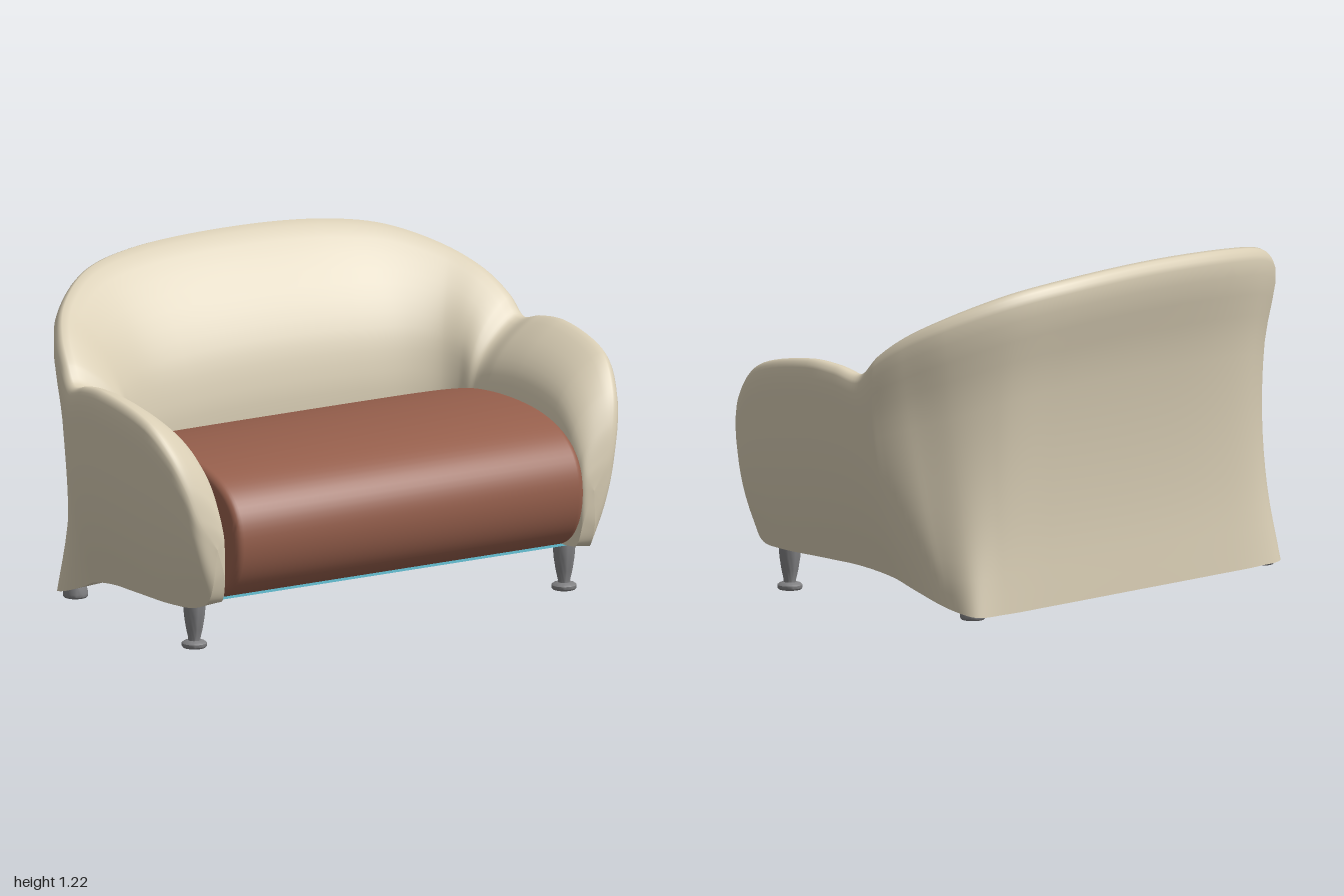
import * as THREE from 'three';
import { toCreasedNormals } from 'three/addons/utils/BufferGeometryUtils.js';

const V = (x, y, z) => new THREE.Vector3(x, y, z);

// Rails from the middle of the back to the nose of the left arm, as [x, y, z].
const RIM = [[0, 1.17, -.63], [.4, 1.155, -.61], [.64, 1.12, -.54], [.83, 1.045, -.4], [.92, .975, -.275],
  [.96, .905, -.175], [.975, .84, -.105], [.99, .86, 0], [1, .868, .13], [.985, .81, .4], [.95, .71, .51],
  [.915, .61, .56], [.87, .49, .585], [.8, .39, .591]];
const FLOOR = [[0, .015, -.52], [.4, .015, -.52], [.64, .015, -.515], [.765, .017, -.49], [.8, .04, -.39],
  [.82, .09, -.24], [.835, .125, -.15], [.85, .15, 0], [.862, .157, .15], [.86, .16, .4], [.835, .165, .5],
  [.815, .19, .55], [.81, .26, .58], [.8, .39, .591]];
const SEAT = [[0, .115, -.235], [.36, .115, -.225], [.55, .115, -.2], [.645, .125, -.16], [.685, .14, -.115],
  [.695, .147, -.08], [.7, .152, -.05], [.71, .16, .03], [.728, .17, .17], [.742, .178, .4], [.745, .18, .5],
  [.752, .19, .55], [.762, .28, .58], [.8, .39, .591]];
const LAST = RIM.length - 1;

// Mirrored rail: parameter 0 = right arm nose, 0.5 = back centre, 1 = left arm nose
function rail(points) {
  const left = points.map((p) => V(...p));
  const right = left.slice(1).reverse().map((p) => V(-p.x, p.y, p.z));
  return new THREE.CatmullRomCurve3([...right, ...left], false, 'centripetal');
}

// Smooth surface through equally long rows of points
function loft(rows) {
  const n = rows[0].length, index = [];
  for (let i = 0; i < rows.length - 1; i++) {
    for (let j = 0; j < n - 1; j++) {
      const a = i * n + j, b = a + n;
      index.push(a, a + 1, b, b, a + 1, b + 1);
    }
  }
  const geometry = new THREE.BufferGeometry().setFromPoints(rows.flat());
  geometry.setIndex(index);
  geometry.computeVertexNormals();
  return geometry;
}

// Roll of the inner wall: [share of the way inwards, share of the drop at the back, at the arms]
const ROLL = [[.1, 0, 0], [.53, .24, .14], [.85, .55, .37], [.97, .8, .65], [1, 1, 1]];

function section(floor, rim, seat, station) {
  // The back wall is hollow, the arm walls swell, and the back corners are drawn in at mid height
  const arm = THREE.MathUtils.smoothstep(station, 1, 5.5);
  const k = THREE.MathUtils.lerp(-.8, 1.95, arm);
  const waist = .06 * Math.exp(-(((station - 3) / 1.3) ** 2));
  const points = [0, .25, .5, .75, 1].map((t) => {
    const f = t * (k + (1 - k) * t);
    const d = waist * 4 * t * (1 - t);
    return V(floor.x + (rim.x - floor.x) * f - Math.sign(floor.x) * d * .4,
      floor.y + (rim.y - floor.y) * t, floor.z + (rim.z - floor.z) * f + d);
  });
  const top = rim.y + .04 * (rim.y - floor.y);
  const mid = seat.y + .45 * (rim.y - seat.y);
  for (const [g, back, side] of ROLL) {
    const h = THREE.MathUtils.lerp(back, side, arm);
    points.push(V(rim.x + (seat.x - rim.x) * g, top + (mid - top) * h, rim.z + (seat.z - rim.z) * g));
  }
  points.push(seat.clone());
  return new THREE.CatmullRomCurve3(points, false, 'centripetal').getPoints(40);
}

export function createModel() {
  const group = new THREE.Group();
  const material = (name, color, side = THREE.FrontSide) => {
    const m = new THREE.MeshStandardMaterial({ color, side });
    m.name = name;
    return m;
  };
  const cream = material('cream upholstery', 0xd8cdb4, THREE.DoubleSide);
  const rust = material('rust cushion', 0x965f4c);
  const teal = material('teal lining', 0x5cb0c2, THREE.DoubleSide);
  const metal = material('grey metal', 0x808082);
  const add = (name, geometry, mat) => {
    const mesh = new THREE.Mesh(geometry, mat);
    mesh.name = name;
    group.add(mesh);
    return mesh;
  };

  // Wraparound shell: back and arms in one sweep, with a separate underside
  const rim = rail(RIM), floor = rail(FLOOR), seat = rail(SEAT);
  const walls = [], under = [], steps = 208;
  for (let i = 0; i <= steps; i++) {
    const u = i / steps;
    const f = floor.getPoint(u), s = seat.getPoint(u);
    walls.push(section(f, rim.getPoint(u), s, Math.abs(u - .5) * 2 * LAST));
    under.push([s, s.clone().lerp(f, .5), f]);
  }
  add('backAndArms', loft(walls), cream);
  add('shellUnderside', loft(under), cream);

  // Lining stretched across the underside of the seat
  const lining = [];
  for (let i = 0; i <= 40; i++) {
    const t = i / 40;
    const p = seat.getPoint(.5 + .5 * (10 / LAST) * t);
    const y = p.y + .013 * (1 - t);
    lining.push([V(-p.x, y, p.z), V(p.x, y, p.z)]);
  }
  add('seatLining', loft(lining), teal);

  // Seat cushion with a full round front and a crowned top
  const profile = new THREE.Shape();
  profile.moveTo(-.3, .205);
  profile.lineTo(.47, .187);
  profile.bezierCurveTo(.56, .185, .63, .28, .63, .4);
  profile.bezierCurveTo(.63, .57, .48, .66, .17, .66);
  profile.bezierCurveTo(0, .66, -.15, .635, -.3, .59);
  profile.closePath();
  const cushion = new THREE.ExtrudeGeometry(profile, {
    depth: 1.42, curveSegments: 20, bevelEnabled: true,
    bevelThickness: .03, bevelSize: .03, bevelOffset: -.03, bevelSegments: 5,
  });
  cushion.translate(0, 0, -.71).rotateY(-Math.PI / 2);
  add('seatCushion', toCreasedNormals(cushion, .7), rust);

  // Turned front legs on round feet, and low round feet at the back
  const turn = (points) => toCreasedNormals(
    new THREE.LatheGeometry(points.map(([r, y]) => new THREE.Vector2(r, y)), 28), .7);
  const foot = [[0, 0], [.04, 0], [.045, .006], [.045, .016]];
  const frontLeg = turn([...foot, [.038, .022], [.022, .026], [.022, .034],
    [.03, .07], [.037, .115], [.04, .15], [.04, .175], [0, .175]]);
  const backFoot = turn([...foot, [.04, .04], [0, .04]]);
  for (const side of [1, -1]) {
    const label = side > 0 ? 'Left' : 'Right';
    add('front' + label + 'Leg', frontLeg, metal).position.set(side * .785, 0, .42);
    add('back' + label + 'Foot', backFoot, metal).position.set(side * .725, 0, -.435);
  }
  return group;
}
